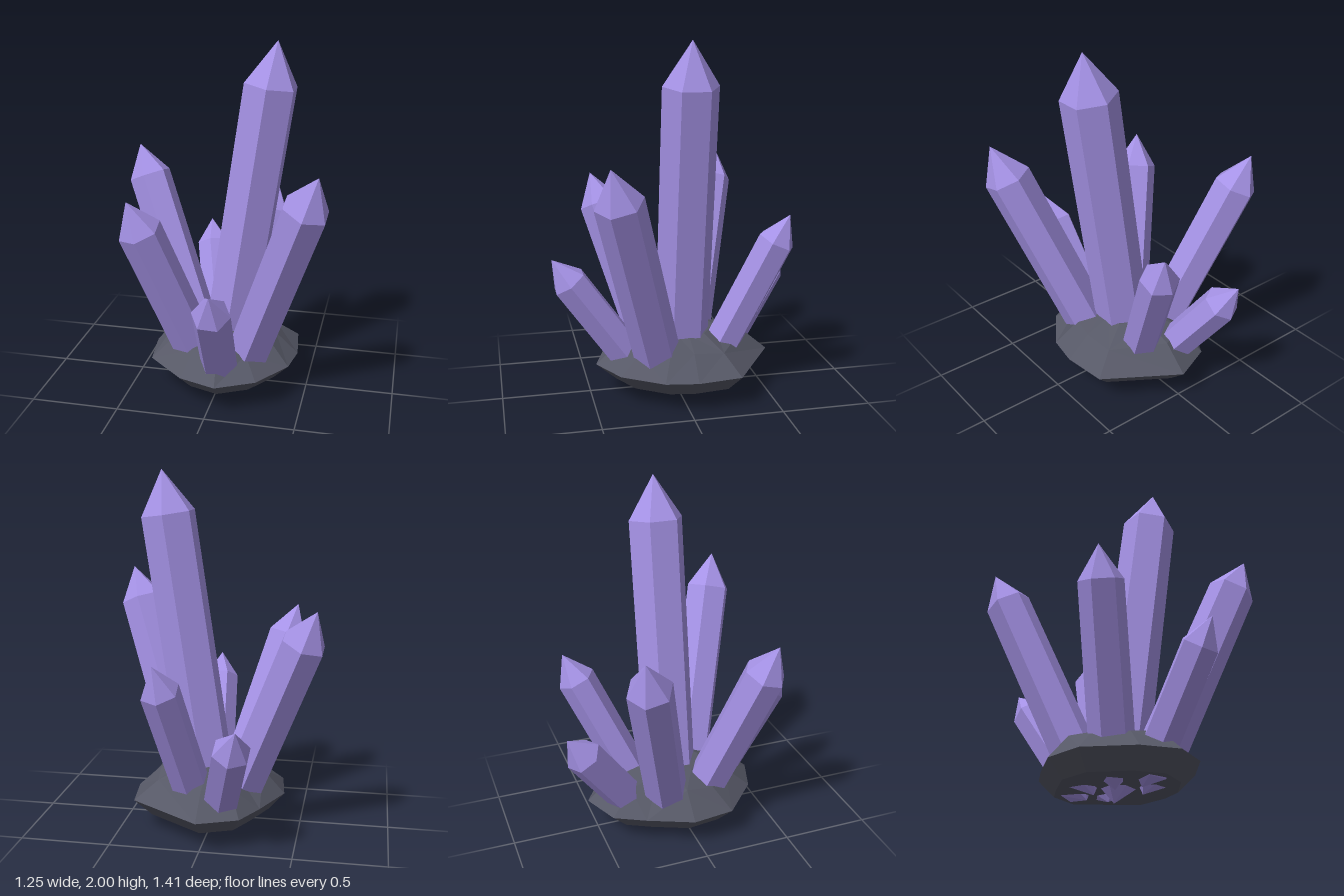
import * as THREE from 'three';

const crystalMaterial = new THREE.MeshStandardMaterial({ color: 0xa592e6, flatShading: true });
const rockMaterial = new THREE.MeshStandardMaterial({ color: 0x565866, flatShading: true });

// Six-sided prism with a long point on top and a short one at the root
function crystal(name, root, tip, radius, spin = 0) {
  const a = new THREE.Vector3(...root);
  const axis = new THREE.Vector3(...tip).sub(a);
  const length = axis.length();
  const profile = [
    [0, 0],
    [radius, radius * 0.9],
    [radius, length - radius * 1.55],
    [0, length],
  ].map(([x, y]) => new THREE.Vector2(x, y));
  const geometry = new THREE.LatheGeometry(profile, 6).rotateY(spin);
  const mesh = new THREE.Mesh(geometry, crystalMaterial);
  mesh.name = name;
  mesh.position.copy(a);
  mesh.quaternion.setFromUnitVectors(new THREE.Vector3(0, 1, 0), axis.normalize());
  return mesh;
}

// Faceted rock: one irregular outline, scaled into rings from bottom to top
function rockBase() {
  const outline = [
    [0.44, -0.04], [0.41, 0.14], [0.26, 0.36], [0.05, 0.47], [-0.16, 0.4], [-0.38, 0.2],
    [-0.41, -0.04], [-0.3, -0.29], [-0.21, -0.46], [0.01, -0.55], [0.41, -0.29],
  ];
  const rings = [[0.08, 0.78], [0.18, 1], [0.3, 0.7], [0.355, 0.36]];
  const n = outline.length;
  const cz = -0.05;
  const positions = [];
  const index = [];
  rings.forEach(([y, s], r) => outline.forEach(([x, z], i) => {
    const wobble = r === 2 ? 0.02 * Math.sin(i * 2.4) : 0;
    positions.push(x * s, y + wobble, cz + (z - cz) * s);
  }));
  positions.push(0, 0.08, cz, 0, 0.36, cz);
  const bottom = rings.length * n;
  for (let i = 0; i < n; i++) {
    const j = (i + 1) % n;
    for (let r = 0; r < rings.length - 1; r++) {
      const a = r * n + i, b = r * n + j, c = a + n, d = b + n;
      if ((i + r) % 2) index.push(a, c, b, b, c, d);
      else index.push(a, c, d, a, d, b);
    }
    const top = (rings.length - 1) * n;
    index.push(bottom, i, j, bottom + 1, top + j, top + i);
  }
  const geometry = new THREE.BufferGeometry();
  geometry.setAttribute('position', new THREE.Float32BufferAttribute(positions, 3));
  geometry.setIndex(index);
  geometry.computeVertexNormals();
  const mesh = new THREE.Mesh(geometry, rockMaterial);
  mesh.name = 'rockBase';
  return mesh;
}

export function createModel() {
  const group = new THREE.Group();
  group.name = 'crystalCluster';
  group.add(
    rockBase(),
    crystal('mainCrystal', [-0.005, 0, -0.03], [0.29, 2, -0.03], 0.155),
    crystal('frontLeftCrystal', [0.1, 0.04, 0.08], [0.58, 1.4, 0.445], 0.132),
    crystal('frontRightCrystal', [-0.07, 0.04, 0.07], [-0.43, 1.2, 0.425], 0.122),
    crystal('frontCrystal', [0.03, 0.05, 0.165], [0.077, 0.82, 0.706], 0.105, Math.PI / 6),
    crystal('backRightCrystal', [-0.1, 0.04, -0.08], [-0.595, 1.305, -0.38], 0.125),
    crystal('backSmallCrystal', [-0.05, 0.05, -0.22], [-0.225, 0.745, -0.705], 0.105),
    crystal('backLeftCrystal', [0.045, 0.04, -0.155], [0.22, 1.04, -0.606], 0.108),
  );
  return group;
}
